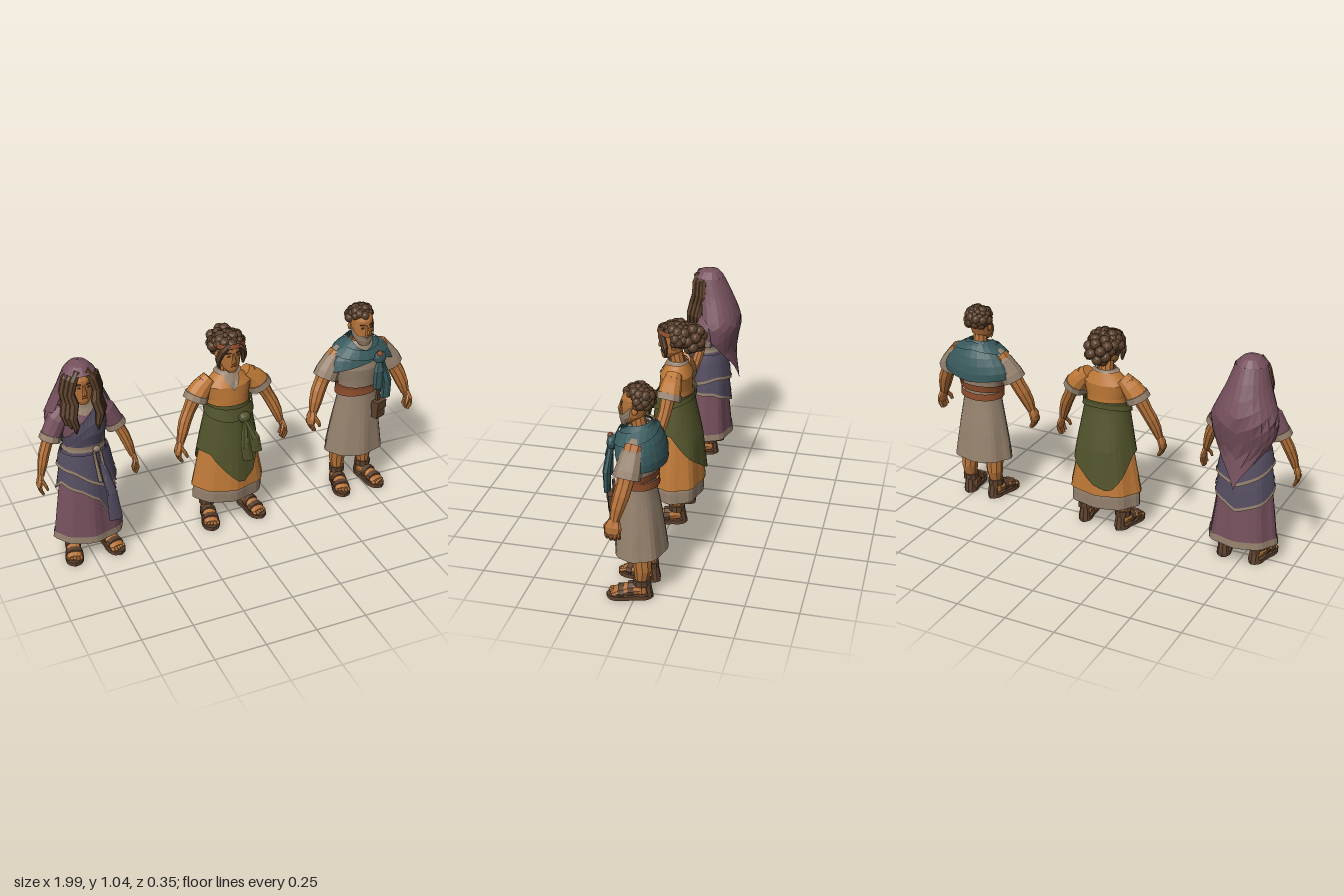
import * as THREE from 'three';
import { mergeGeometries } from 'three/addons/utils/BufferGeometryUtils.js';

const mat = (name, color) => Object.assign(new THREE.MeshStandardMaterial({ color, side: THREE.DoubleSide }), { name });
const M = {
  skin: mat('skin', 0xb57239), hair: mat('hair', 0x5a3f2a), leather: mat('leather', 0x5c412d),
  plum: mat('plum', 0x75505c), indigo: mat('indigo', 0x544d61), linen: mat('linen', 0x95816d),
  orange: mat('orange', 0xbd7836), olive: mat('olive', 0x52532b), teal: mat('teal', 0x38595c), rust: mat('rust', 0x8c4c2b),
};
const V = (x, y, z) => new THREE.Vector3(x, y, z);
const PI = Math.PI;

// piecewise-linear lookup in rows [key, ...values] with ascending keys
function at(t, x) {
  if (x <= t[0][0]) return t[0].slice(1);
  for (let i = 1; i < t.length; i++) if (x <= t[i][0]) {
    const f = (x - t[i - 1][0]) / (t[i][0] - t[i - 1][0]);
    return t[i].slice(1).map((v, k) => t[i - 1][k + 1] * (1 - f) + v * f);
  }
  return t[t.length - 1].slice(1);
}

// faceted skin over equal-length rings
function surface(rings) {
  const pos = [];
  for (let i = 0; i + 1 < rings.length; i++) for (let k = 0; k + 1 < rings[i].length; k++) {
    const a = rings[i][k], b = rings[i][k + 1], c = rings[i + 1][k + 1], d = rings[i + 1][k];
    for (const p of [a, b, c, a, c, d]) pos.push(p.x, p.y, p.z);
  }
  const g = new THREE.BufferGeometry();
  g.setAttribute('position', new THREE.Float32BufferAttribute(pos, 3));
  g.computeVertexNormals();
  return g;
}
function add(g, name, m, geo) {
  const mesh = new THREE.Mesh(geo, m);
  mesh.name = name;
  g.add(mesh);
  return mesh;
}

// closed limb through rows [x, y, z, ru, rv]; a fixed axis keeps rings parallel
function loftGeo(rows, axis, n = 9) {
  const P = rows.map(r => V(r[0], r[1], r[2]));
  const rings = rows.map((r, i) => {
    const t = axis ? axis.clone() : P[Math.min(i + 1, P.length - 1)].clone().sub(P[Math.max(i - 1, 0)]).normalize();
    const u = (Math.abs(t.z) > 0.8 ? V(0, 1, 0) : V(0, 0, 1)).cross(t).normalize(), v = t.clone().cross(u);
    return Array.from({ length: n + 1 }, (_, k) => P[i].clone()
      .addScaledVector(u, Math.cos(k / n * 2 * PI) * r[3]).addScaledVector(v, Math.sin(k / n * 2 * PI) * (r[4] ?? r[3])));
  });
  const cap = p => Array(n + 1).fill(p);
  return surface([cap(P[0]), ...rings, cap(P[P.length - 1])]);
}
const loft = (g, name, m, rows, axis, n) => add(g, name, m, loftGeo(rows, axis, n));
const X = V(1, 0, 0), Y = V(0, 1, 0), Z = V(0, 0, 1);

// draped cloth around a body profile [y, rx, rz, cz]; top and bottom are heights, angle tables or functions
function cloth(g, name, m, prof, top, bot, { out = 0, a0 = -PI, a1 = PI, n = 36, rows = 9, cap = false } = {}) {
  const h = (f, a) => typeof f === 'number' ? f : Array.isArray(f) ? at(f, a)[0] : f(a);
  const rings = [];
  for (let j = cap ? -1 : 0; j <= rows; j++) rings.push(Array.from({ length: n + 1 }, (_, k) => {
    const a = a0 + (a1 - a0) * k / n, b = h(bot, a), y = b + (Math.max(h(top, a), b) - b) * Math.max(j, 0) / rows;
    const [rx, rz, cz] = at(prof, y);
    const fold = 1 + 0.028 * (Math.cos(8 * a) + 0.6 * Math.cos(5 * a + 1)) * Math.min(Math.max((0.6 - y) / 0.3, 0), 1);
    const s = j < 0 ? 0.02 : 1;
    return V(Math.sin(a) * (rx * fold + out) * s, j < 0 ? y + 0.02 : y, cz + Math.cos(a) * (rz * fold + out) * s);
  }));
  return add(g, name, m, surface(rings));
}
function blobGeo(x, y, z, rx, ry = rx, rz = rx) {
  const b = new THREE.IcosahedronGeometry(1, 1).scale(rx, ry, rz).translate(x, y, z);
  b.computeVertexNormals();
  return b;
}
const blob = (g, name, m, ...p) => add(g, name, m, blobGeo(...p));

const HEAD = [[0.848, 0.022, 0.022, 0.045], [0.865, 0.038, 0.038, 0.034], [0.89, 0.05, 0.054, 0.018], [0.93, 0.056, 0.062, 0.01],
  [0.97, 0.056, 0.063, 0.005], [1.0, 0.046, 0.054, 0], [1.018, 0.02, 0.026, 0]];

function head(g) {
  loft(g, 'head', M.skin, HEAD.map(([y, rx, rz, cz]) => [0, y, cz, rx, rz]), Y, 14);
  loft(g, 'neck', M.skin, [[0, 0.77, -0.01, 0.045], [0, 0.83, -0.008, 0.036], [0, 0.9, 0.005, 0.034]], Y, 10);
  loft(g, 'nose', M.skin, [[0, 0.9, 0.075, 0.013, 0.01], [0, 0.91, 0.077, 0.011, 0.012], [0, 0.95, 0.068, 0.005, 0.006]], Y, 6);
  add(g, 'mouth', M.rust, new THREE.BoxGeometry(0.026, 0.005, 0.006).translate(0, 0.884, 0.071));
  for (const s of [-1, 1]) {
    blob(g, 'ear', M.skin, s * 0.058, 0.928, -0.002, 0.009, 0.02, 0.014);
    blob(g, 'eye', M.hair, s * 0.023, 0.938, 0.066, 0.009, 0.004, 0.004);
    add(g, 'brow', M.hair, new THREE.BoxGeometry(0.026, 0.006, 0.008).rotateY(s * 0.35).translate(s * 0.024, 0.953, 0.064));
  }
}

// curls spread over the scalp, leaving the face free
function curls(g, N, rx, ry, rz, r, low) {
  const parts = [];
  for (let i = 0; i < N; i++) {
    const y = 1 - 2 * (i + 0.5) / N, w = Math.sqrt(1 - y * y), x = Math.cos(i * 2.4) * w, z = Math.sin(i * 2.4) * w;
    if (y < low || (z > 0.05 && y < 0.42)) continue;
    parts.push(blobGeo(x * rx, 0.965 + y * ry, -0.008 + z * rz, r * (1 + 0.2 * Math.sin(i * 5))));
  }
  add(g, 'hair', M.hair, mergeGeometries(parts));
}

function arms(g, spread, w) {
  for (const s of [-1, 1]) {
    const f = rows => rows.map(([x, y, z, a, b = a]) => [s * x * spread, y, z, a * w, b * w]);
    loft(g, 'arm', M.skin, f([[0.11, 0.79, -0.012, 0.04], [0.16, 0.73, -0.005, 0.04], [0.2, 0.65, 0.005, 0.033],
      [0.222, 0.605, 0.015, 0.033], [0.24, 0.555, 0.028, 0.029], [0.256, 0.5, 0.038, 0.019]]));
    const hand = [f([[0.254, 0.51, 0.038, 0.018, 0.021], [0.268, 0.475, 0.043, 0.016, 0.036], [0.272, 0.445, 0.043, 0.012, 0.034]]),
      f([[0.26, 0.49, 0.062, 0.011], [0.246, 0.465, 0.08, 0.01], [0.238, 0.443, 0.083, 0.007]])];
    for (let i = 0; i < 4; i++) {
      const z = 0.017 + i * 0.0175, d = i % 3 ? 0 : 0.008;
      hand.push(f([[0.272, 0.455, z, 0.01], [0.27, 0.43 + d, z, 0.009], [0.258, 0.408 + d, z, 0.007]]));
    }
    add(g, 'hand', M.skin, mergeGeometries(hand.map(r => loftGeo(r, null, 7))));
  }
}
function sleeves(g, m, spread, end, r, cuff) {
  const path = [[0, 0.09, 0.8, -0.012], [0.4, 0.15, 0.745, -0.008], [1, 0.2, 0.645, 0.005]];
  for (const s of [-1, 1]) {
    const row = (t, q) => { const [x, y, z] = at(path, t); return [s * x * spread, y, z, q]; };
    loft(g, 'sleeve', m, [row(0, 0.038), row(0.3, 0.05), row(end * 0.8, r), row(end, r * 1.03)], null, 11);
    if (cuff) loft(g, 'cuff', M.linen, [row(end - 0.13, r * 1.08), row(end + 0.04, r * 1.12)], null, 11);
  }
}

function legs(g, x, w) {
  for (const s of [-1, 1]) {
    const leg = new THREE.Group();
    leg.name = 'leg';
    leg.position.x = s * x;
    leg.rotation.y = s * 0.2;
    g.add(leg);
    loft(leg, 'calf', M.skin, [[0, 0.03, -0.03, 0.03], [0, 0.09, -0.03, 0.029], [0, 0.15, -0.036, 0.039], [-s * 0.005, 0.22, -0.03, 0.043],
      [-s * 0.01, 0.32, -0.02, 0.046]].map(r => [r[0], r[1], r[2], r[3] * w]), Y, 10);
    loft(leg, 'foot', M.skin, [[0, 0.038, -0.068, 0.02, 0.02], [0, 0.048, -0.035, 0.03, 0.034], [0, 0.045, 0.02, 0.033, 0.03],
      [0, 0.034, 0.07, 0.038, 0.02], [0, 0.028, 0.1, 0.036, 0.012]], Z, 10);
    add(leg, 'toes', M.skin, mergeGeometries([-2, -1, 0, 1, 2].map(i => blobGeo(i * 0.015, 0.027, 0.108 - Math.abs(i + s) * 0.005, 0.009, 0.009, 0.016))));
    const half = [[0.032, -0.115], [0.045, -0.07], [0.034, 0], [0.033, 0.05]];
    const sole = new THREE.Shape();
    sole.moveTo(0, -0.132);
    sole.splineThru([...half, [0, 0.083], ...half.map(p => [-p[0], p[1]]).reverse(), [0, -0.132]].map(p => new THREE.Vector2(...p)));
    add(leg, 'sole', M.leather, new THREE.ExtrudeGeometry(sole, { depth: 0.02, bevelEnabled: false, curveSegments: 2 }).rotateX(-PI / 2));
    for (const [z, y, rx, ry] of [[0.065, 0.034, 0.042, 0.026], [0.02, 0.044, 0.038, 0.034]])
      loft(leg, 'strap', M.leather, [[0, y, z - 0.013, rx, ry + 0.003], [0, y, z + 0.013, rx, ry]], Z, 10);
    loft(leg, 'ankleStrap', M.leather, [[0, 0.07, -0.03, 0.041], [0, 0.1, -0.03, 0.041]], Y, 10);
    loft(leg, 'heelStrap', M.leather, [[0, 0.015, -0.06, 0.03, 0.022], [0, 0.075, -0.05, 0.024, 0.022]], Y, 8);
  }
}
function figure(root, name, x) {
  const g = new THREE.Group();
  g.name = name;
  g.position.x = x;
  root.add(g);
  head(g);
  return g;
}

function veiledWoman(root) {
  const g = figure(root, 'veiledWoman', -0.74);
  const B = [[0.1, 0.168, 0.125, -0.012], [0.4, 0.128, 0.1, -0.008], [0.55, 0.103, 0.08, -0.005], [0.62, 0.084, 0.066, 0], [0.7, 0.102, 0.08, 0],
    [0.77, 0.11, 0.074, -0.005], [0.81, 0.085, 0.055, -0.01], [0.84, 0.045, 0.042, -0.01]];
  legs(g, 0.09, 0.85);
  arms(g, 0.88, 0.82);
  sleeves(g, M.plum, 0.85, 0.85, 0.047, true);
  cloth(g, 'gown', M.plum, B, 0.84, 0.12, { cap: true });
  cloth(g, 'gownTrim', M.linen, B, 0.14, 0.105, { out: 0.004, rows: 1 });
  cloth(g, 'neckline', M.linen, B, 0.845, [[-1.2, 0.83], [0, 0.785], [1.2, 0.83]], { out: 0.004, rows: 2 });
  // diagonal wrap with trimmed hems
  const top = [[-PI, 0.7], [-1.5, 0.66], [-0.8, 0.7], [0, 0.78], [0.5, 0.815], [1.2, 0.815], [2, 0.78], [PI, 0.7]];
  const hem = [[-PI, 0.3], [-2, 0.35], [-1.2, 0.43], [-0.3, 0.39], [0.25, 0.33], [0.5, 0.22], [0.95, 0.25], [1.15, 0.37], [2, 0.37], [PI, 0.3]];
  const tier = [[-PI, 0.43], [-1.6, 0.52], [-0.6, 0.5], [0.6, 0.39], [1.3, 0.43], [2.2, 0.46], [PI, 0.43]];
  for (const [t, h, out] of [[top, hem, 0.012], [0.59, tier, 0.023]]) {
    cloth(g, 'wrap', M.indigo, B, t, h, { out });
    cloth(g, 'wrapTrim', M.linen, B, a => at(h, a)[0] + 0.012, a => at(h, a)[0] - 0.004, { out: out + 0.004, rows: 1 });
  }
  loft(g, 'wrapTail', M.indigo, [[0.1, 0.22, 0.125, 0.035, 0.012], [0.085, 0.38, 0.125, 0.026, 0.014], [0.05, 0.55, 0.1, 0.014, 0.01]], Y);
  cloth(g, 'sash', M.linen, B, 0.63, 0.6, { out: 0.017, rows: 2 });
  for (const x of [0.02, 0.05]) loft(g, 'sashTail', M.linen, [[x + 0.015, 0.45, 0.122, 0.01, 0.004], [x, 0.6, 0.096, 0.008, 0.006]], Y, 6);
  blob(g, 'sashKnot', M.linen, 0.035, 0.614, 0.09, 0.02, 0.018, 0.012);
  blob(g, 'brooch', M.rust, 0.075, 0.79, 0.072, 0.016, 0.016, 0.01);
  // long hair framing the face
  curls(g, 60, 0.055, 0.05, 0.058, 0.02, -0.3);
  for (const s of [-1, 1]) for (let i = 0; i < 3; i++) {
    const x = 0.045 + i * 0.013, z = 0.058 - i * 0.022;
    loft(g, 'hairLock', M.hair, [[s * 0.02, 1.015, z - 0.01, 0.016], [s * x, 0.975, z, 0.02], [s * (x + 0.016), 0.91, z, 0.02], [s * (x + 0.006), 0.86, z + 0.012, 0.023],
      [s * (x + 0.02), 0.8, z + 0.025, 0.022], [s * (x + 0.008), 0.75, z + 0.03, 0.016], [s * (x + 0.01), 0.715 + i * 0.02, z + 0.025, 0.005]], null, 7);
  }
  // veil pointed at the back
  const veil = [[0.43, 0.05, 0.04, -0.135], [0.6, 0.125, 0.085, -0.062], [0.68, 0.155, 0.11, -0.055], [0.76, 0.165, 0.125, -0.055], [0.83, 0.135, 0.115, -0.045],
    [0.9, 0.105, 0.102, -0.028], [0.96, 0.087, 0.092, -0.01], [1.0, 0.074, 0.08, 0], [1.03, 0.045, 0.05, -0.005], [1.045, 0.002, 0.002, -0.01]];
  cloth(g, 'veil', M.plum, veil, 1.0, a => at([[0, 0.43], [0.75, 0.55], [1.6, 0.68], [2.3, 0.74]], Math.abs(a - PI))[0], { a0: 1.1, a1: 2 * PI - 1.1, n: 16, rows: 8 });
  cloth(g, 'veilCrown', M.plum, veil, 1.045, 1.0, { n: 16, rows: 3 });
}

function apronWoman(root) {
  const g = figure(root, 'apronWoman', -0.005);
  const B = [[0.13, 0.19, 0.132, -0.015], [0.2, 0.187, 0.135, -0.012], [0.45, 0.137, 0.112, -0.008], [0.6, 0.108, 0.088, 0], [0.67, 0.095, 0.074, 0],
    [0.73, 0.112, 0.084, 0], [0.78, 0.12, 0.075, -0.005], [0.815, 0.092, 0.056, -0.01], [0.84, 0.045, 0.042, -0.01]];
  legs(g, 0.11, 0.9);
  arms(g, 1.04, 0.95);
  sleeves(g, M.orange, 1, 0.62, 0.056, true);
  cloth(g, 'underskirt', M.linen, B, 0.3, 0.135, { out: -0.01, rows: 3, cap: true });
  cloth(g, 'dress', M.orange, B, 0.84, 0.21);
  cloth(g, 'collar', M.linen, B, 0.845, [[-1.2, 0.83], [-0.5, 0.825], [0, 0.755], [0.5, 0.825], [1.2, 0.83]], { out: 0.005, rows: 2 });
  cloth(g, 'apron', M.olive, B, 0.68, [[-PI, 0.27], [-2.7, 0.24], [-1.7, 0.42], [-0.9, 0.42], [0.1, 0.25], [0.55, 0.3], [0.85, 0.44], [1.5, 0.5], [2.2, 0.38], [PI, 0.27]], { out: 0.014 });
  cloth(g, 'apronRoll', M.olive, B, a => 0.68 - 0.015 * Math.cos(a), a => 0.63 - 0.03 * Math.cos(a), { out: 0.024, rows: 2 });
  blob(g, 'apronKnot', M.olive, 0.04, 0.615, 0.11, 0.032, 0.03, 0.025);
  for (const [x, y] of [[0.03, 0.4], [0.075, 0.44]])
    loft(g, 'apronTail', M.olive, [[x + 0.01, y, 0.16, 0.028, 0.01], [x, y + 0.08, 0.15, 0.026, 0.016], [0.04, 0.61, 0.115, 0.014, 0.012]], Y, 7);
  // gathered hair, bun and headband
  curls(g, 80, 0.072, 0.052, 0.068, 0.024, -0.55);
  const bun = [];
  for (let i = 0; i < 18; i++) {
    const y = 1 - 2 * (i + 0.5) / 18, w = Math.sqrt(1 - y * y);
    bun.push(blobGeo(Math.cos(i * 2.4) * w * 0.055, 0.955 + y * 0.055, -0.085 + Math.sin(i * 2.4) * w * 0.042, 0.027));
  }
  add(g, 'bun', M.hair, mergeGeometries(bun));
  const band = add(g, 'headband', M.rust, new THREE.CylinderGeometry(0.073, 0.077, 0.022, 16, 1, true).scale(1.02, 1, 1.08));
  band.position.set(0, 0.988, 0.008);
  band.rotation.x = -0.12;
  for (const s of [-1, 1]) loft(g, 'sideLock', M.hair, [[s * 0.02, 1.0, 0.07, 0.016], [s * 0.05, 0.972, 0.06, 0.018], [s * 0.066, 0.92, 0.04, 0.016], [s * 0.062, 0.875, 0.035, 0.006]], null, 7);
}

function capedMan(root) {
  const g = figure(root, 'capedMan', 0.705);
  const B = [[0.225, 0.155, 0.12, -0.01], [0.4, 0.128, 0.1, -0.006], [0.55, 0.1, 0.078, 0], [0.6, 0.096, 0.074, 0], [0.7, 0.12, 0.088, 0],
    [0.77, 0.133, 0.08, -0.005], [0.82, 0.1, 0.06, -0.01], [0.85, 0.045, 0.045, -0.01]];
  legs(g, 0.082, 1.08);
  arms(g, 1.03, 1.12);
  sleeves(g, M.linen, 1, 0.85, 0.06, false);
  cloth(g, 'tunic', M.linen, B, 0.85, 0.225, { cap: true });
  for (const [y, t] of [[0.565, 0.05], [0.595, -0.06]]) cloth(g, 'belt', M.rust, B, a => y + 0.035 + 0.01 * Math.sin(a + t * 20), a => y + 0.01 * Math.sin(a + t * 20), { out: 0.012 + y * 0.01, rows: 2 });
  // shoulder cape gathered at a knot
  const cape = [[0.66, 0.195, 0.118, -0.012], [0.72, 0.198, 0.118, -0.01], [0.78, 0.165, 0.102, -0.01], [0.825, 0.105, 0.078, -0.008], [0.85, 0.064, 0.06, -0.005], [0.87, 0.055, 0.055, -0.005]];
  cloth(g, 'cape', M.teal, cape, [[-PI, 0.87], [-1, 0.855], [0, 0.815], [1, 0.855], [PI, 0.87]], [[-PI, 0.67], [-1.6, 0.695], [-0.9, 0.72], [0, 0.755], [0.5, 0.77], [1, 0.73], [1.6, 0.71], [PI, 0.67]], { n: 24, rows: 5 });
  cloth(g, 'capeRoll', M.teal, cape, [[-PI, 0.865], [0, 0.82], [PI, 0.865]], [[-PI, 0.83], [0, 0.775], [PI, 0.83]], { out: 0.012, n: 20, rows: 2 });
  blob(g, 'knot', M.teal, 0.065, 0.775, 0.098, 0.035, 0.035, 0.024);
  blob(g, 'brooch', M.rust, 0.06, 0.8, 0.107, 0.016, 0.018, 0.014);
  for (const [x, y] of [[0.055, 0.61], [0.1, 0.55]])
    loft(g, 'capeTail', M.teal, [[x, y, 0.115, 0.028, 0.014], [x, y + 0.1, 0.115, 0.028, 0.018], [0.067, 0.775, 0.1, 0.016, 0.014]], Y, 7);
  // belt pouch
  add(g, 'pouch', M.leather, new THREE.BoxGeometry(0.062, 0.08, 0.035).rotateY(0.4).translate(0.075, 0.475, 0.1));
  add(g, 'pouchFlap', M.leather, new THREE.BoxGeometry(0.068, 0.045, 0.042).rotateY(0.4).translate(0.075, 0.505, 0.101));
  add(g, 'pouchStrap', M.leather, new THREE.BoxGeometry(0.02, 0.07, 0.012).rotateY(0.4).translate(0.072, 0.555, 0.093));
  // short curls and beard
  curls(g, 80, 0.055, 0.053, 0.058, 0.021, -0.4);
  cloth(g, 'beard', M.linen, HEAD, [[-1.5, 0.95], [-0.9, 0.9], [-0.45, 0.897], [0, 0.88], [0.45, 0.897], [0.9, 0.9], [1.5, 0.95]], 0.843, { out: 0.007, a0: -1.5, a1: 1.5, n: 14, rows: 4, cap: false });
  loft(g, 'moustache', M.linen, [[-0.025, 0.887, 0.07, 0.004], [0, 0.894, 0.08, 0.006], [0.025, 0.887, 0.07, 0.004]], X, 6);
}

export function createModel() {
  const root = new THREE.Group();
  root.name = 'threeFigures';
  veiledWoman(root);
  apronWoman(root);
  capedMan(root);
  return root;
}
